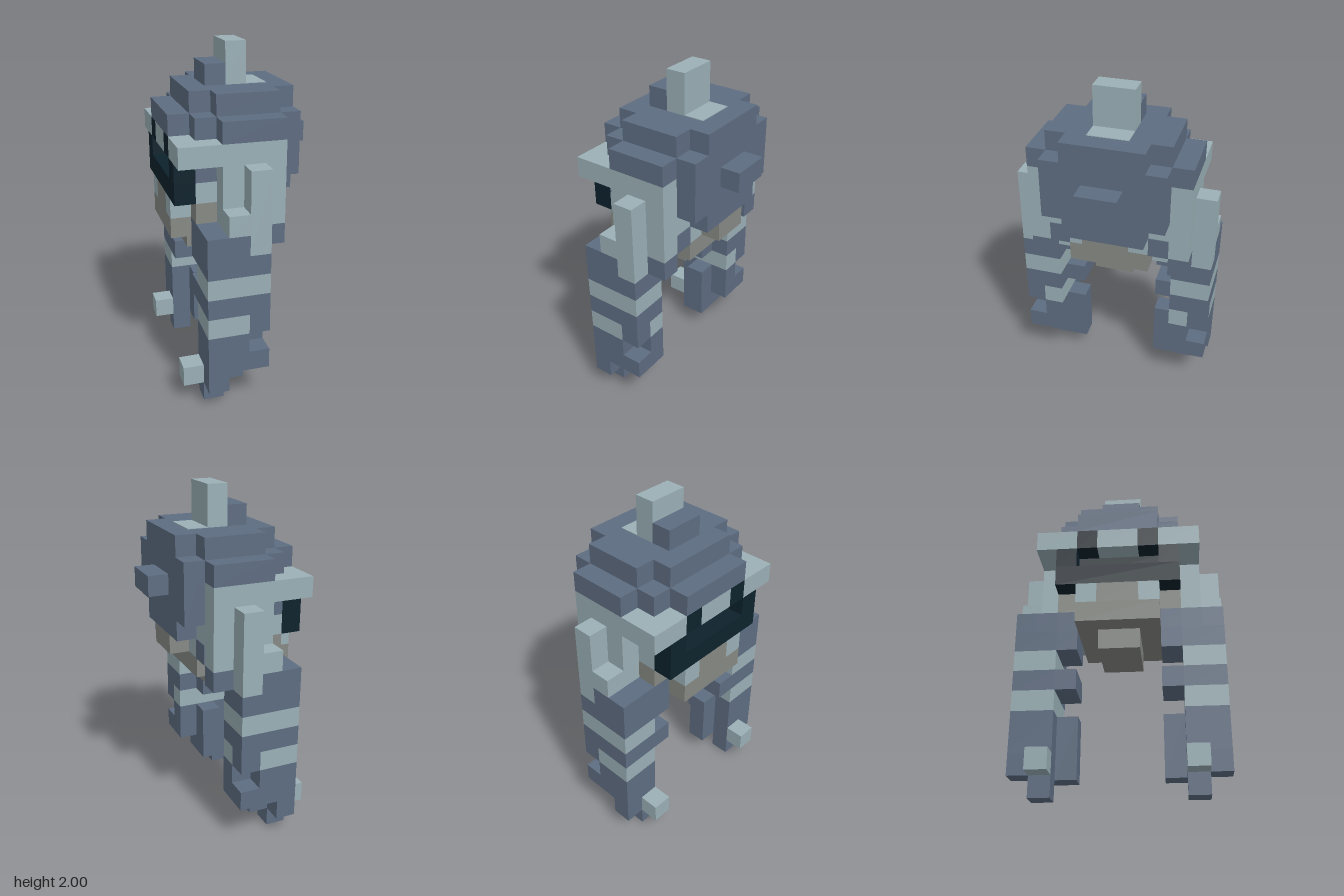
import * as THREE from 'three';

const U = 2 / 17; // one block

export function createModel() {
  const root = new THREE.Group();
  root.name = 'blockWalker';
  const mat = (name, color) => {
    const m = new THREE.MeshStandardMaterial({ color });
    m.name = name;
    return m;
  };
  const blue = mat('slateBlue', 0x5e6d82);
  const light = mat('paleSteel', 0x9ab0b6);
  const grey = mat('warmGrey', 0x868984);
  const dark = mat('visorDark', 0x0d222c);

  // Box in block units: x and y ranges, z from the centre plane outwards.
  // Parts touching the centre span it; others are built on both sides.
  function part(parent, name, m, x0, x1, y0, y1, z0, z1) {
    const spans = z0 === 0 ? [[-z1, z1]] : [[z0, z1], [-z1, -z0]];
    spans.forEach(([a, b], i) => {
      const geo = new THREE.BoxGeometry((x1 - x0) * U, (y1 - y0) * U, (b - a) * U);
      const mesh = new THREE.Mesh(geo, m);
      mesh.position.set(((x0 + x1) / 2 - 3.5) * U, ((y0 + y1) / 2) * U, ((a + b) / 2) * U);
      mesh.name = spans.length === 1 ? name : name + (i ? 'Far' : 'Near');
      parent.add(mesh);
    });
  }
  const group = (name) => {
    const g = new THREE.Group();
    g.name = name;
    root.add(g);
    return g;
  };

  // Stepped dome with its fin
  const dome = group('dome');
  part(dome, 'fin', light, 3, 4, 15, 17, 0, 1);
  part(dome, 'finBase', blue, 2, 3, 15, 16, 0, 1);
  part(dome, 'finPlate', light, 4, 5, 15, 15.03, 0, 1);
  part(dome, 'crownCentre', blue, 1, 5, 14, 15, 0, 2);
  part(dome, 'crownSide', blue, 2, 5, 14, 15, 2, 3);
  part(dome, 'domeCentre', blue, 1, 5, 13, 14, 0, 3);
  part(dome, 'domeSide', blue, 2, 5, 13, 14, 3, 4);
  part(dome, 'forehead', blue, 0, 1, 13, 14, 0, 2);

  // Back plate and knob
  const back = group('backPlate');
  part(back, 'plateCentre', blue, 5, 6, 10, 15, 0, 2);
  part(back, 'plateSide', blue, 5, 6, 11, 14, 2, 3);
  part(back, 'knob', blue, 6, 7, 12, 13, 0, 1);

  // Body and face
  const body = group('body');
  part(body, 'core', light, 2, 5, 9, 13, 0, 4);
  part(body, 'coreInset', blue, 5, 5.04, 9, 10, 2, 3);
  part(body, 'browCore', light, 1, 2, 12, 13, 0, 4);
  part(body, 'brim', light, 0, 1, 12, 13, 2, 4);
  part(body, 'browCentre', light, 0, 1, 12, 13, 0, 1);
  part(body, 'browGap', dark, 0, 1, 12, 13, 1, 2);
  part(body, 'temple', blue, 1, 2, 11, 12, 2, 3);
  part(body, 'visorRecess', dark, 1, 2, 11, 12, 0, 2);
  part(body, 'visorEnd', dark, 0, 1, 11, 12, 2, 3);
  part(body, 'visorSill', dark, 0, 1, 10, 11, 0, 3);
  part(body, 'cheek', light, 1, 2, 10, 11, 0, 3);
  part(body, 'jaw', grey, 1, 2, 9, 10, 0, 3);
  part(body, 'chinSide', light, 0, 1, 9, 10, 1, 2);
  part(body, 'chinCentre', grey, 0, 1, 9, 10, 0, 1);

  // Pelvis steps
  const pelvis = group('pelvis');
  part(pelvis, 'tailBlock', grey, 5, 6, 9, 10, 0, 1);
  part(pelvis, 'pelvisBlock', grey, 0, 5, 8, 9, 0, 2);
  part(pelvis, 'keel', grey, 1, 4, 7, 8, 0, 1);

  // Hips, with a strut climbing the outer side
  const hips = group('hips');
  part(hips, 'strut', light, 3, 4, 8, 12, 4, 5);
  part(hips, 'strutFoot', light, 2, 3, 9, 10, 4, 5);
  part(hips, 'hipOuter', blue, 1, 3, 8, 9, 4, 5);
  part(hips, 'hipMiddle', blue, 1, 5, 8, 9, 3, 4);
  part(hips, 'hipInner', blue, 1, 3, 8, 9, 2, 3);
  part(hips, 'hipJoint', light, 3, 4, 8, 9, 2, 3);

  // Banded legs
  const legs = group('legs');
  for (const y of [5, 7]) {
    part(legs, 'legBand', blue, 1, 4, y, y + 1, 3, 5);
    part(legs, 'legInner', blue, 1, 3, y, y + 1, 2, 3);
  }
  part(legs, 'upperStripe', light, 1, 4, 6, 7, 3, 5);
  part(legs, 'lowerStripe', light, 1, 3, 4, 5, 3, 5);
  part(legs, 'lowerStripeBack', light, 3, 4, 4, 5, 3, 4);
  part(legs, 'calfBack', blue, 3, 4, 4, 5, 4, 5);

  // Lower legs and feet
  const feet = group('feet');
  part(feet, 'shin', blue, 1, 3, 2, 4, 3, 5);
  part(feet, 'heel', blue, 3, 4, 2, 3, 3, 5);
  part(feet, 'heelTop', blue, 3, 4, 3, 4, 3, 4);
  part(feet, 'ankleInner', blue, 2, 3, 1, 4, 2, 3);
  part(feet, 'ankle', blue, 1, 3, 1, 2, 3, 4);
  part(feet, 'ankleOuter', blue, 1, 2, 1, 2, 4, 5);
  part(feet, 'toe', light, 0, 1, 1, 2, 3, 4);
  part(feet, 'foot', blue, 1, 2, 0, 1, 3, 4);

  return root;
}
